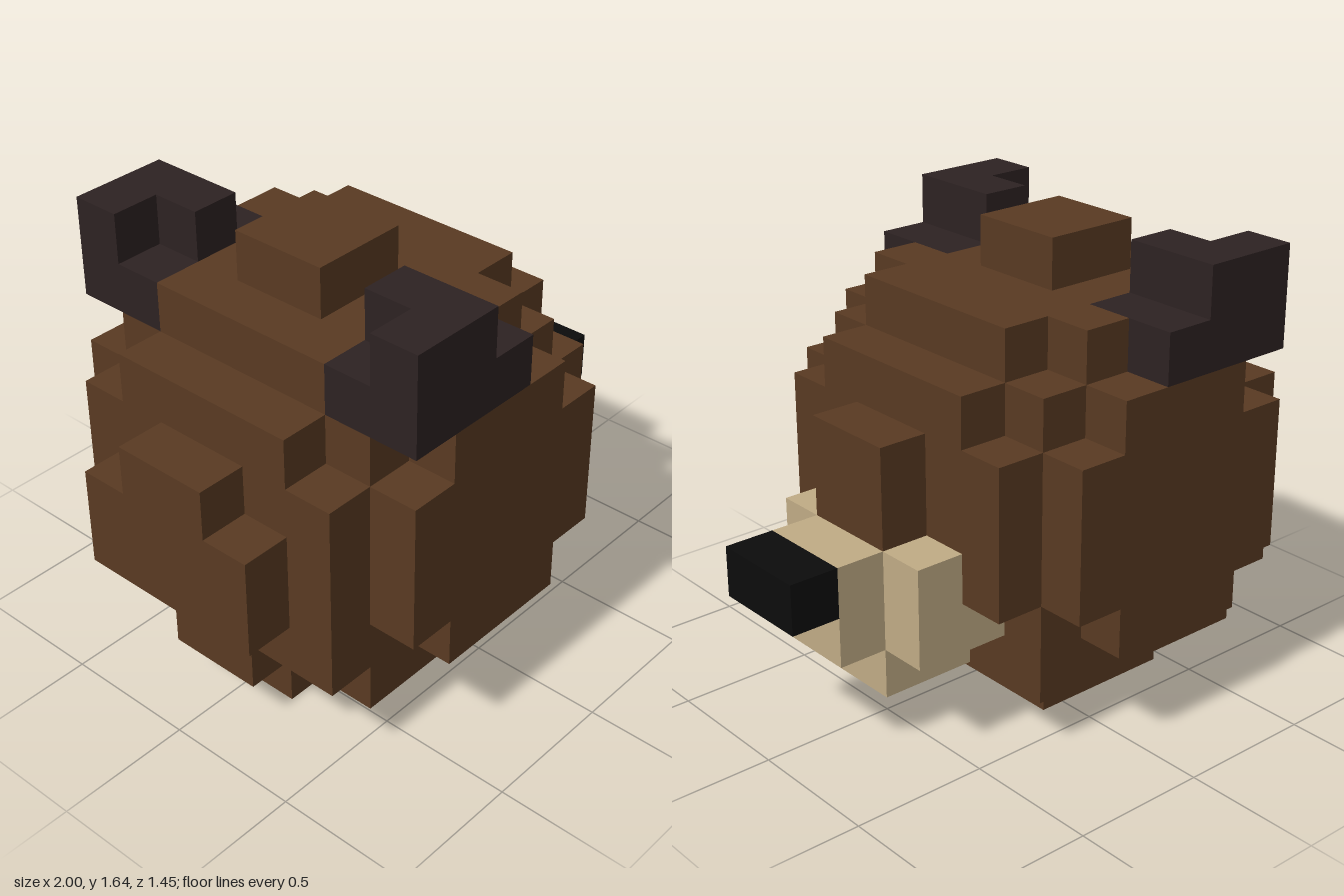
import * as THREE from 'three';

const U = 2 / 11; // size of one block

const mat = (name, color) => {
  const m = new THREE.MeshStandardMaterial({ color });
  m.name = name;
  return m;
};

export function createModel() {
  const brown = mat('brown fur', 0x593a22);
  const tan = mat('tan muzzle', 0xc0ab85);
  const dark = mat('dark ear', 0x2d2222);
  const black = mat('black nose', 0x0c0c0c);

  const model = new THREE.Group();
  model.name = 'blockBearHead';

  // Box from block ranges: x 0..11 (back to snout), y 0..9, z 0..8
  const block = (name, material, x0, x1, y0, y1, z0, z1) => {
    const mesh = new THREE.Mesh(
      new THREE.BoxGeometry((x1 - x0) * U, (y1 - y0) * U, (z1 - z0) * U), material);
    mesh.position.set(((x0 + x1) / 2 - 5.5) * U, ((y0 + y1) / 2) * U, ((z0 + z1) / 2 - 4) * U);
    mesh.name = name;
    model.add(mesh);
  };
  // Same box on both sides of the head
  const pair = (name, material, x0, x1, y0, y1, z0, z1) => {
    block(name + 'A', material, x0, x1, y0, y1, z0, z1);
    block(name + 'B', material, x0, x1, y0, y1, 8 - z1, 8 - z0);
  };

  // Rounded head core, stepped in towards top and bottom
  block('headMiddle', brown, 1, 8, 3, 6, 1, 7);
  block('headCore', brown, 2, 7, 1, 7, 1, 7);
  block('headLower', brown, 1, 7, 2, 3, 1, 7);
  block('headUpper', brown, 1, 8, 6, 7, 2, 6);
  block('crown', brown, 2, 7, 7, 8, 2, 6);
  pair('crownSide', brown, 5, 6, 7, 8, 1, 2);
  block('topTuft', brown, 3, 5, 8, 9, 3, 5);
  block('chin', brown, 3, 6, 0, 1, 2, 6);
  block('chinBack', brown, 2, 3, 0, 1, 3, 5);

  // Cheeks
  pair('cheek', brown, 2, 7, 3, 6, 0, 1);
  pair('cheekTall', brown, 3, 6, 2, 7, 0, 1);

  // Back of the head
  block('napeLow', brown, 1, 2, 1, 2, 3, 5);
  block('nape', brown, 0, 1, 3, 5, 2, 6);
  block('napeTop', brown, 0, 1, 5, 6, 3, 5);

  // Brow ridge above the muzzle
  block('brow', brown, 8, 9, 4, 6, 3, 5);

  // Muzzle and nose
  block('muzzleBase', tan, 7, 8, 2, 3, 2, 6);
  block('muzzle', tan, 8, 9, 2, 4, 2, 6);
  block('muzzleFront', tan, 9, 10, 2, 4, 3, 5);
  block('jaw', tan, 7, 9, 1, 2, 3, 5);
  block('nose', black, 10, 11, 3, 4, 3, 5);

  // Ears with an L-shaped top
  pair('earBase', dark, 2, 5, 7, 8, 0, 2);
  pair('earTop', dark, 2, 4, 8, 9, 0, 1);
  pair('earInner', dark, 3, 4, 8, 9, 1, 2);

  return model;
}
